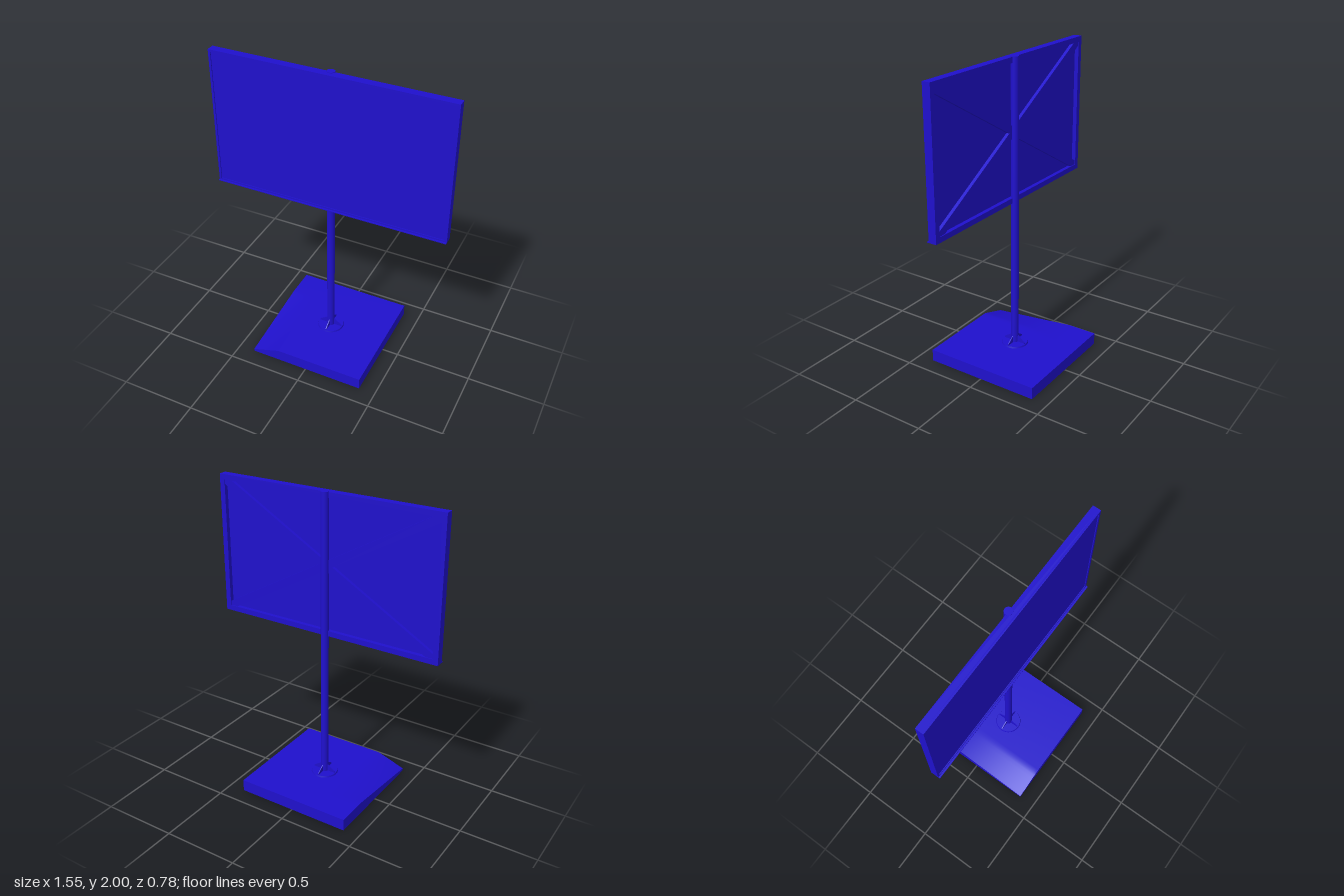
import * as THREE from 'three';

const material = new THREE.MeshStandardMaterial({ color: 0x1f10cc });

function add(parent, name, geometry, x = 0, y = 0, z = 0) {
  const mesh = new THREE.Mesh(geometry, material);
  mesh.name = name;
  mesh.position.set(x, y, z);
  parent.add(mesh);
  return mesh;
}

// Slab whose front corner at -x is worn down to a slope
function wornSlab(size, height) {
  const g = new THREE.BoxGeometry(size, height, size, 32, 1, 32);
  g.translate(0, height / 2, 0);
  const p = g.attributes.position;
  for (let i = 0; i < p.count; i++) {
    const u = THREE.MathUtils.clamp((-0.2 - p.getX(i)) / 0.19, 0, 1);
    const w = THREE.MathUtils.clamp((p.getZ(i) + 0.19) / 0.58, 0, 1);
    p.setY(i, p.getY(i) * (1 - 0.8 * u * w));
  }
  g.computeVertexNormals();
  return g;
}

// Rectangular ring, w by h, with rails of width t
function ring(w, h, t, depth) {
  const rect = (Type, a, b) => new Type([
    new THREE.Vector2(-a, -b), new THREE.Vector2(a, -b),
    new THREE.Vector2(a, b), new THREE.Vector2(-a, b),
  ]);
  const shape = rect(THREE.Shape, w / 2, h / 2);
  shape.holes.push(rect(THREE.Path, w / 2 - t, h / 2 - t));
  return new THREE.ExtrudeGeometry(shape, { depth, bevelEnabled: false });
}

export function createModel() {
  const model = new THREE.Group();
  model.name = 'signBoardOnPost';

  // Base and post
  add(model, 'base', wornSlab(0.78, 0.08), 0, 0, 0);
  add(model, 'post', new THREE.CylinderGeometry(0.025, 0.025, 1.94, 24), 0, 1.03, 0);

  // Foot plate with four gussets
  const foot = new THREE.Group();
  foot.name = 'postFoot';
  foot.position.y = 0.08;
  model.add(foot);
  add(foot, 'footPlate', new THREE.CylinderGeometry(0.085, 0.088, 0.01, 32), 0, 0.005, 0);
  const fin = new THREE.Shape([
    new THREE.Vector2(0.015, 0.005), new THREE.Vector2(0.08, 0.005),
    new THREE.Vector2(0.08, 0.018), new THREE.Vector2(0.025, 0.056),
    new THREE.Vector2(0.015, 0.056),
  ]);
  const finGeometry = new THREE.ExtrudeGeometry(fin, { depth: 0.006, bevelEnabled: false });
  finGeometry.translate(0, 0, -0.003);
  for (let i = 0; i < 4; i++) {
    add(foot, 'gusset', finGeometry).rotation.y = i * Math.PI / 2;
  }

  // Board: frame rails, front rim, sheet and bottom lip
  const W = 1.55, H = 0.912, rail = 0.035;
  const board = new THREE.Group();
  board.name = 'board';
  board.position.y = 1.085 + H / 2;
  model.add(board);
  add(board, 'frame', ring(W, H, rail, 0.04));
  add(board, 'frontRim', ring(W, H, 0.015, 0.013), 0, 0, 0.04);
  add(board, 'sheet', new THREE.BoxGeometry(W - 0.03, H - 0.03, 0.02), 0, 0, 0.037);
  add(board, 'bottomLip', new THREE.BoxGeometry(W, 0.005, 0.02), 0, -H / 2 + 0.0025, 0.055);

  // Diagonal braces from the post to each corner of the back
  const dx = W / 2 - rail, dy = H / 2 - rail;
  for (const sx of [-1, 1]) {
    for (const sy of [-1, 1]) {
      const brace = add(board, 'brace',
        new THREE.BoxGeometry(Math.hypot(dx, dy), 0.05, 0.025), sx * dx / 2, sy * dy / 2, 0.018);
      brace.rotation.z = Math.atan2(sy * dy, sx * dx);
    }
  }
  return model;
}
